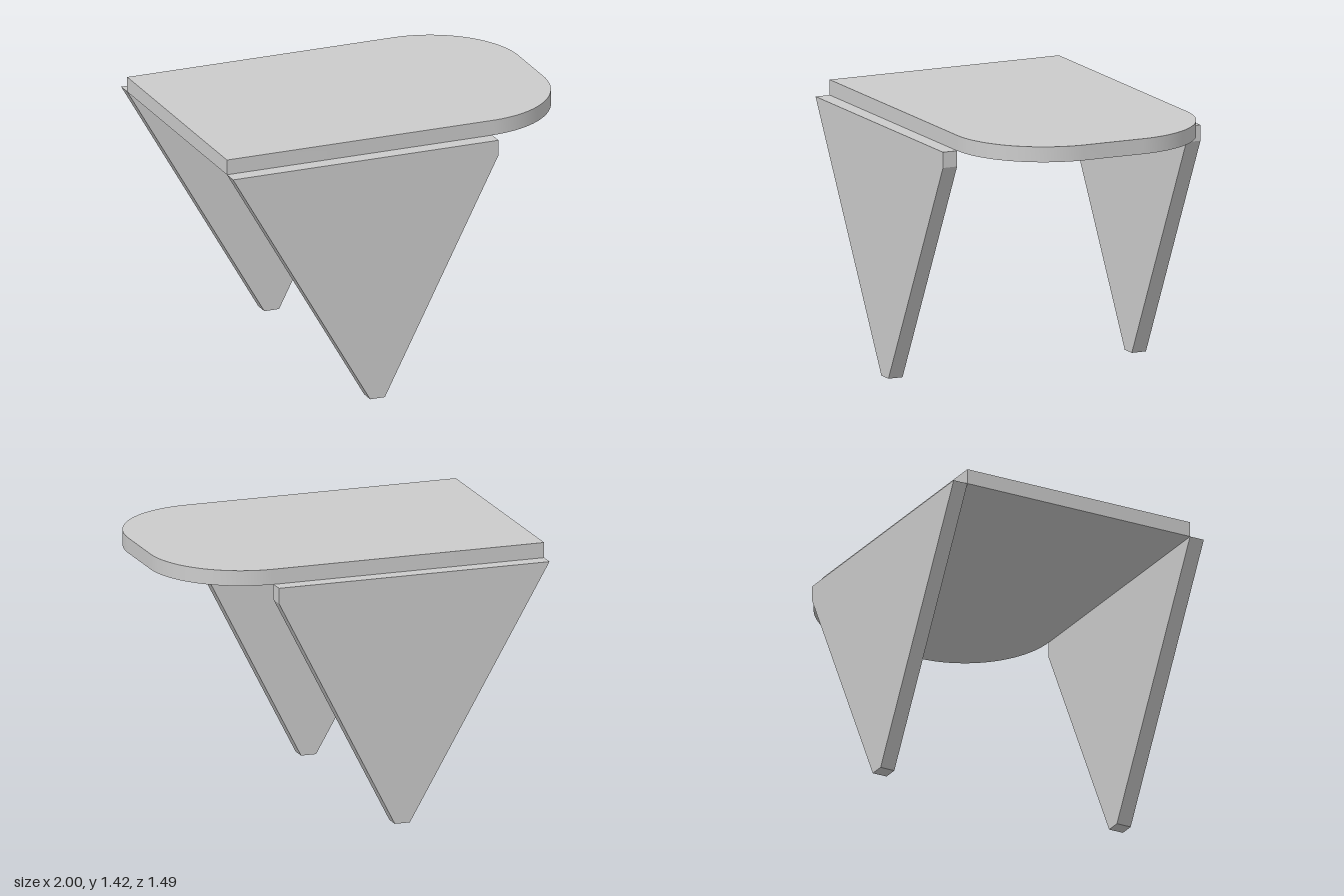
import * as THREE from 'three';
import { toCreasedNormals } from 'three/addons/utils/BufferGeometryUtils.js';

const HALF_DEPTH = 0.665;   // half depth of the table top
const THICK = 0.082;        // panel thickness
const LEG_HEIGHT = 1.334;
const RADIUS = 0.5;         // rounded corners at the +x end

function panel(shape, material, name) {
  const geometry = new THREE.ExtrudeGeometry(shape, { depth: THICK, bevelEnabled: false, curveSegments: 24 });
  const mesh = new THREE.Mesh(geometry, material);
  mesh.name = name;
  return mesh;
}

export function createModel() {
  const group = new THREE.Group();
  group.name = 'table';
  const material = new THREE.MeshStandardMaterial({ color: 0xcccccc });

  // Table top: square at one end, two rounded corners at the other
  const c = HALF_DEPTH - RADIUS;
  const topShape = new THREE.Shape();
  topShape.moveTo(-1, -HALF_DEPTH);
  topShape.lineTo(1 - RADIUS, -HALF_DEPTH);
  topShape.absarc(1 - RADIUS, -c, RADIUS, -Math.PI / 2, 0, false);
  topShape.lineTo(1, c);
  topShape.absarc(1 - RADIUS, c, RADIUS, 0, Math.PI / 2, false);
  topShape.lineTo(-1, HALF_DEPTH);
  topShape.closePath();
  const top = panel(topShape, material, 'tableTop');
  top.geometry.rotateX(-Math.PI / 2);
  top.geometry = toCreasedNormals(top.geometry, Math.PI / 6);
  top.position.y = LEG_HEIGHT;
  group.add(top);

  // Tapered panel legs along both long edges
  const legShape = new THREE.Shape([
    [-0.225, 0], [-0.142, 0], [0.5, 1.25], [0.5, LEG_HEIGHT], [-1, LEG_HEIGHT],
  ].map(([x, y]) => new THREE.Vector2(x, y)));
  for (const [name, z] of [['frontLeg', HALF_DEPTH], ['backLeg', -HALF_DEPTH - THICK]]) {
    const leg = panel(legShape, material, name);
    leg.position.z = z;
    group.add(leg);
  }

  return group;
}
